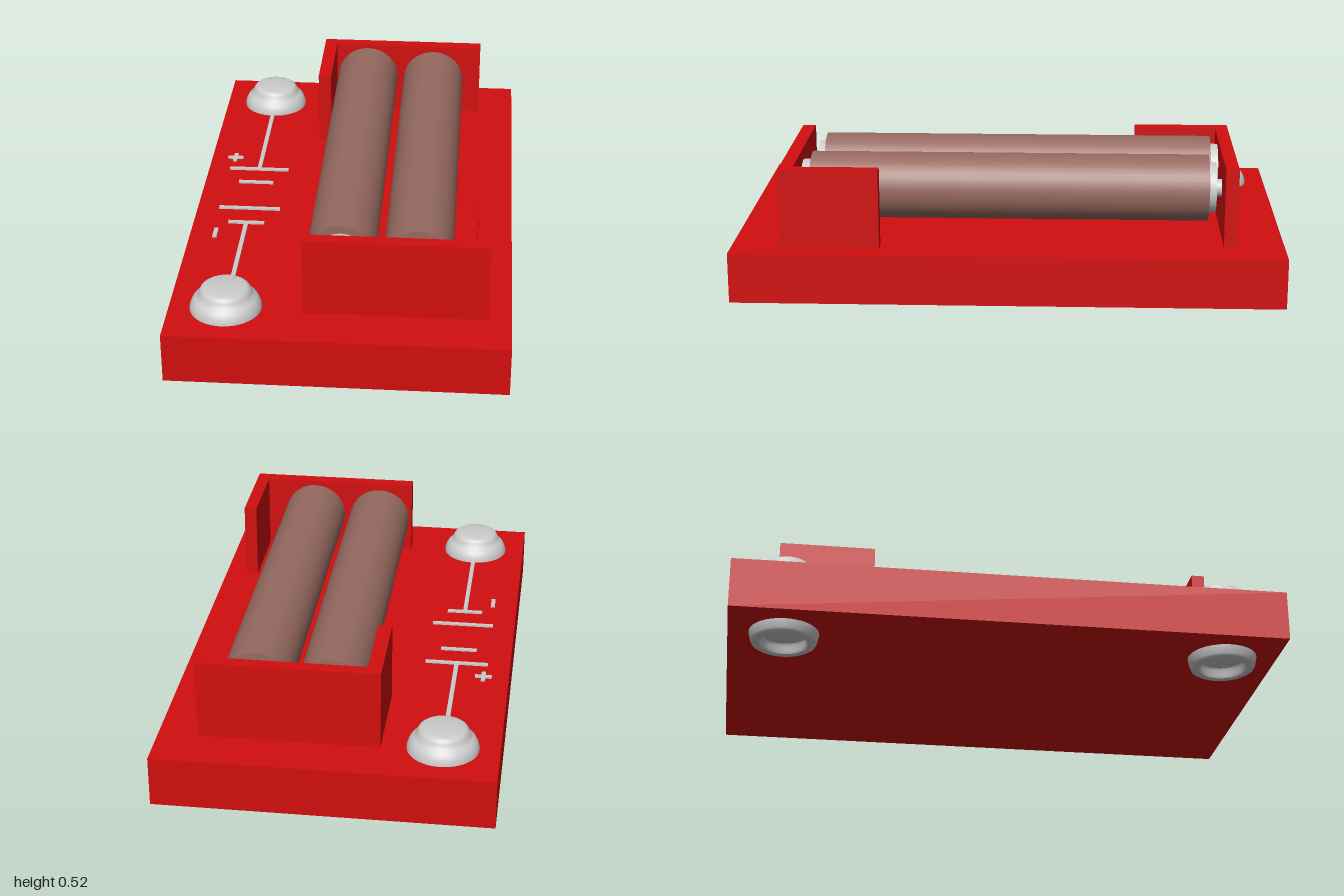
import * as THREE from 'three';
import { toCreasedNormals } from 'three/addons/utils/BufferGeometryUtils.js';

const red = new THREE.MeshStandardMaterial({ color: 0xd20e0e });
const brown = new THREE.MeshStandardMaterial({ color: 0x966a60 });
const grey = new THREE.MeshStandardMaterial({ color: 0xcccccc });
const greyOpen = new THREE.MeshStandardMaterial({ color: 0xcccccc, side: THREE.DoubleSide });

const BASE_BOTTOM = 0.045, BASE_TOP = 0.23, WALL_TOP = 0.52;

function add(parent, name, geometry, material, x = 0, y = 0, z = 0) {
  const mesh = new THREE.Mesh(geometry, material);
  mesh.name = name;
  mesh.position.set(x, y, z);
  parent.add(mesh);
  return mesh;
}

// L-shaped wall from plan corners [x, z], standing on the base
function bracket(parent, name, corners) {
  const shape = new THREE.Shape(corners.map(([x, z]) => new THREE.Vector2(x, -z)));
  const geometry = new THREE.ExtrudeGeometry(shape, { depth: WALL_TOP - BASE_TOP, bevelEnabled: false });
  geometry.rotateX(-Math.PI / 2);
  add(parent, name, geometry, red, 0, BASE_TOP, 0);
}

// Cell lying along z; dir is the side of the positive nub
function battery(parent, name, x, z, dir) {
  const cell = new THREE.Group();
  cell.name = name;
  cell.position.set(x, 0.398, z);
  const disc = (part, radius, from, to, material) => {
    const geometry = new THREE.CylinderGeometry(radius, radius, to - from, 40);
    geometry.rotateX(Math.PI / 2);
    add(cell, part, geometry, material, 0, 0, dir * (from + to) / 2);
  };
  disc('casing', 0.122, -0.73, 0.73, brown);
  disc('negativeCap', 0.092, -0.765, -0.725, grey);
  disc('positiveCap', 0.092, 0.725, 0.757, grey);
  disc('positiveNub', 0.032, 0.755, 0.78, grey);
  parent.add(cell);
}

// Snap fastener: domed stud above the base, hollow socket below
function snap(parent, name, z) {
  const group = new THREE.Group();
  group.name = name;
  group.position.set(-0.4, 0, z);
  const lathe = (part, profile, material) => {
    const points = profile.map(([r, y]) => new THREE.Vector2(r, y));
    add(group, part, toCreasedNormals(new THREE.LatheGeometry(points, 40), 0.7), material);
  };
  lathe('stud', [[0.127, 0.225], [0.127, 0.235], [0.122, 0.252], [0.115, 0.266], [0.104, 0.277],
    [0.097, 0.282], [0.092, 0.296], [0.086, 0.307], [0.078, 0.313], [0.068, 0.315], [0, 0.315]], grey);
  lathe('socket', [[0, 0.04], [0.078, 0.04], [0.083, 0.03], [0.083, 0.012], [0.087, 0.003], [0.095, 0],
    [0.107, 0.001], [0.115, 0.006], [0.119, 0.014], [0.125, 0.04], [0.126, 0.05]], greyOpen);
  parent.add(group);
}

export function createModel() {
  const model = new THREE.Group();
  model.name = 'batteryHolder';

  add(model, 'base', new THREE.BoxGeometry(1.2, BASE_TOP - BASE_BOTTOM, 2), red, 0, (BASE_TOP + BASE_BOTTOM) / 2, 0);

  // Corner walls holding the cells
  bracket(model, 'backBracket', [[-0.185, -0.828], [0.46, -0.828], [0.46, -0.78],
    [-0.135, -0.78], [-0.135, -0.47], [-0.185, -0.47]]);
  bracket(model, 'frontBracket', [[0.52, 0.822], [-0.13, 0.822], [-0.13, 0.773],
    [0.472, 0.773], [0.472, 0.463], [0.52, 0.463]]);

  battery(model, 'rightBattery', -0.003, -0.02, 1);
  battery(model, 'leftBattery', 0.268, 0, -1);

  snap(model, 'backSnap', -0.8);
  snap(model, 'frontSnap', 0.8);

  // Raised circuit symbol: [name, x, z, width, length]
  const marks = new THREE.Group();
  marks.name = 'circuitSymbol';
  const T = 0.016;
  for (const [name, x, z, w, l] of [
    ['backLead', -0.4, -0.445, T, 0.49],
    ['frontLead', -0.4, 0.455, T, 0.466],
    ['backLongPlate', -0.4, -0.199, 0.234, T],
    ['backShortPlate', -0.4, -0.092, 0.136, T],
    ['frontLongPlate', -0.4, 0.113, 0.234, T],
    ['frontShortPlate', -0.4, 0.221, 0.136, T],
    ['plusBar', -0.506, -0.29, 0.062, T],
    ['plusStem', -0.506, -0.29, T, 0.062],
    ['minusBar', -0.506, 0.306, T, 0.062],
  ]) add(marks, name, new THREE.BoxGeometry(w, 0.014, l), grey, x, BASE_TOP, z);
  model.add(marks);

  return model;
}
